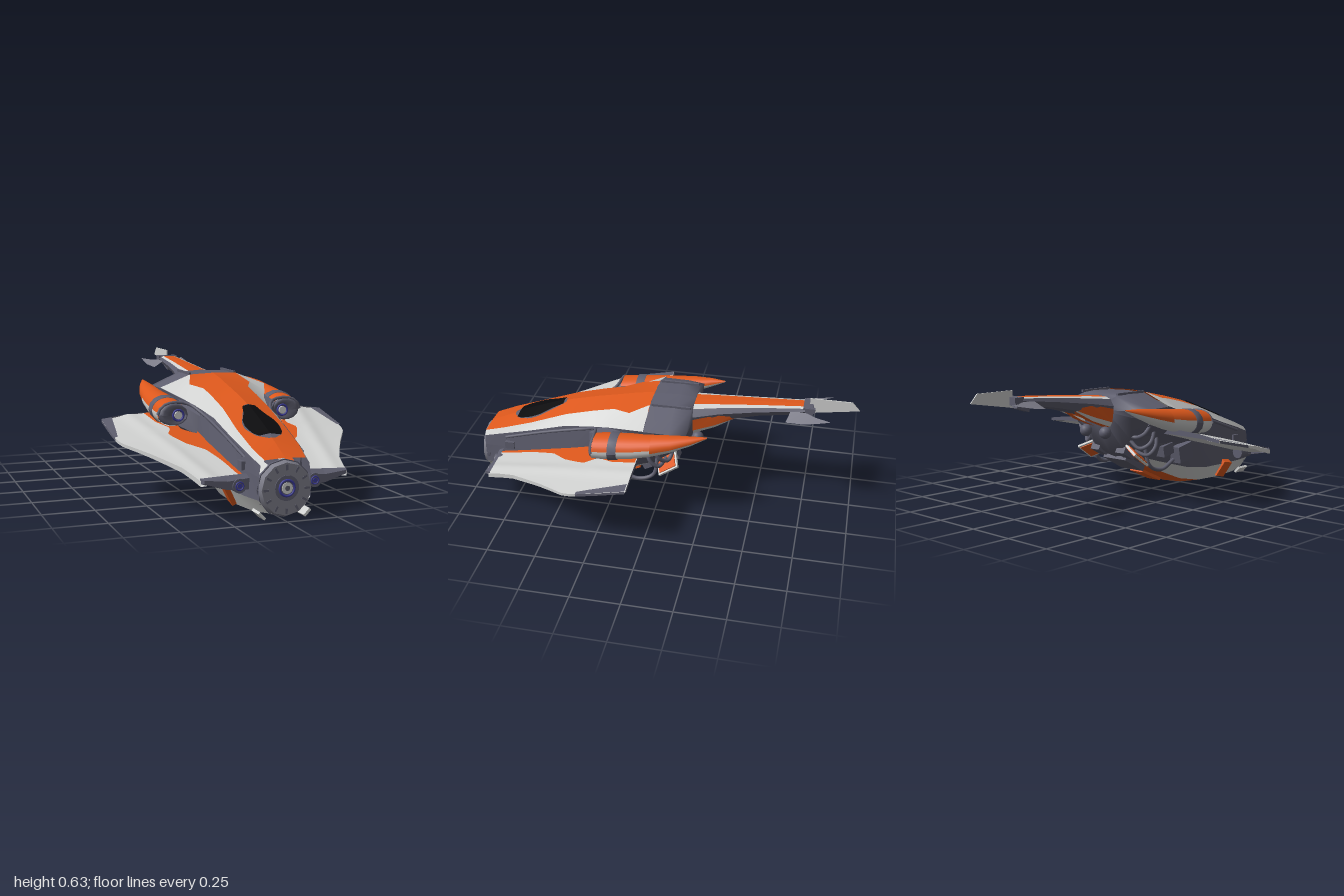
import * as THREE from 'three';

const mat = (name, color) => Object.assign(new THREE.MeshStandardMaterial({ color, side: THREE.DoubleSide }), { name });
const orange = mat('orange paint', 0xdd581c), white = mat('pale paint', 0xd0d1d0), grey = mat('slate hull', 0x5e5e6e);
const metal = mat('light metal', 0x7c7c88), black = mat('canopy black', 0x0b0b0d), blue = mat('engine blue', 0x3c3c9c);

export function createModel() {
  const model = new THREE.Group();
  model.name = 'spacecraft';

  function add(name, geo, m, x = 0, y = 0, z = 0, rx = 0, ry = 0, rz = 0) {
    const mesh = new THREE.Mesh(geo, m);
    mesh.name = name;
    mesh.position.set(x, y, z);
    mesh.rotation.set(rx, ry, rz);
    model.add(mesh);
    return mesh;
  }
  // Same part on both sides
  function pair(name, geo, m, x, y, z, rx = 0, ry = 0, rz = 0) {
    add(name + 'Left', geo, m, x, y, z, rx, ry, rz);
    add(name + 'Right', geo, m, -x, y, z, rx, -ry, -rz);
  }
  const box = (w, h, d) => new THREE.BoxGeometry(w, h, d);
  const disc = (r, d, n = 20, r2 = r) => new THREE.CylinderGeometry(r2, r, d, n).rotateX(Math.PI / 2);

  // Surface through rows of points, mirrored across x = 0
  function skin(name, m, rows) {
    const pos = [], idx = [], n = rows[0].length;
    for (const s of [1, -1]) {
      const base = pos.length / 3;
      rows.forEach(r => r.forEach(([x, y, z]) => pos.push(s * x, y, z)));
      for (let i = 0; i < rows.length - 1; i++) for (let j = 0; j < n - 1; j++) {
        const a = base + i * n + j, b = a + 1, c = a + n, d = c + 1;
        if (s > 0) idx.push(a, c, b, b, c, d); else idx.push(a, b, c, b, d, c);
      }
    }
    const g = new THREE.BufferGeometry();
    g.setAttribute('position', new THREE.Float32BufferAttribute(pos, 3));
    g.setIndex(idx);
    g.computeVertexNormals();
    return add(name, g, m);
  }
  // Half cross-sections [z, [x, y]...] from top to bottom, one colour per band
  function loft(name, sections, bands) {
    bands.forEach((m, j) => skin(name + j, m,
      sections.map(([z, ...p]) => [[...p[j], z], [...p[j + 1], z]])));
  }
  // Mirrored tubes through lists of points
  function tubes(name, r, lists) {
    for (const s of [1, -1]) for (const p of lists) {
      const path = new THREE.CatmullRomCurve3(p.map(([x, y, z]) => new THREE.Vector3(s * x, y, z)));
      add(name, new THREE.TubeGeometry(path, 24, r, 8), grey);
    }
  }
  const lerp = THREE.MathUtils.lerp;
  // Linear lookup in a table sorted by falling z
  function at(table, z) {
    let i = 0;
    while (i < table.length - 2 && z < table[i + 1][0]) i++;
    const [a, b] = [table[i], table[i + 1]], t = (z - a[0]) / (b[0] - a[0]);
    return a.map((v, k) => lerp(v, b[k], t));
  }

  // Main hull
  const hull = [
    [.97, [0, .29], [.10, .285], [.118, .262], [.125, .21], [.125, .105], [.08, .045], [0, .03]],
    [.86, [0, .34], [.117, .325], [.134, .298], [.14, .22], [.148, .105], [.10, .03], [0, .015]],
    [.70, [0, .405], [.122, .38], [.148, .345], [.16, .23], [.172, .11], [.128, .03], [0, .006]],
    [.50, [0, .48], [.117, .455], [.164, .41], [.182, .25], [.183, .115], [.132, .036], [0, .008]],
    [.35, [0, .517], [.118, .495], [.18, .435], [.19, .27], [.178, .135], [.12, .065], [0, .04]],
    [.24, [0, .54], [.12, .52], [.21, .46], [.195, .29], [.16, .165], [.10, .11], [0, .08]],
    [.15, [0, .56], [.165, .533], [.25, .485], [.2, .30], [.14, .19], [.09, .15], [0, .12]],
    [.05, [0, .577], [.128, .572], [.29, .51], [.2, .32], [.13, .22], [.09, .2], [0, .16]]];
  loft('hullPanel', hull, [orange, white, grey, grey, white]);
  const belly = s => s.map(([z, ...p]) => [[...p[5], z], [...p[6], z]]);
  skin('bellyFront', white, belly(hull.slice(0, 2)));
  skin('belly', orange, belly(hull.slice(1)));

  // Canopy lying on the hull roof
  const roof = hull.map(([z, a, b]) => [z, a[1], b[0], b[1]]);
  function canopy(name, m, outline, lift) {
    const rows = [];
    for (let i = 0; i <= 16; i++) {
      const z = lerp(outline[0][0], outline.at(-1)[0], i / 16), w = at(outline, z)[1];
      const [, yt, xo, yo] = at(roof, z);
      rows.push([0, .5, 1].map(t => [w * t, lerp(yt, yo, w * t / xo) + lift, z]));
    }
    skin(name, m, rows);
  }
  canopy('canopyFrame', grey, [[.825, .015], [.79, .062], [.72, .09], [.67, .086], [.60, .055], [.53, .02]], .004);
  canopy('canopyGlass', black, [[.80, .055], [.77, .074], [.71, .085], [.66, .079], [.60, .05], [.542, .033]], .009);

  // Nose cap with notches and sensor
  add('noseCap', disc(.129, .035, 12, .12), metal, 0, .152, .972);
  add('noseRim', disc(.132, .012, 12), grey, 0, .152, .955);
  for (let i = 0; i < 12; i++) {
    const a = i * Math.PI / 6;
    add('noseNotch', box(.01, .026, .008), grey, Math.sin(a) * .099, .152 + Math.cos(a) * .099, .988, 0, 0, -a);
  }
  add('noseHub', disc(.058, .012, 24), grey, 0, .158, .988);
  add('noseRing', new THREE.TorusGeometry(.036, .006, 8, 24), blue, 0, .158, .993);
  add('noseLens', disc(.026, .01, 16), white, 0, .158, .993);
  add('noseLensCore', disc(.012, .004, 12), grey, 0, .158, .998);
  pair('noseSkid', box(.042, .013, .08), white, .11, .035, .935, 0, 0, .8);
  pair('sideFlap', box(.034, .1, .07), orange, .157, .083, .69, .2, 0, -.5);

  // Wings: swept sheets rising toward the back
  const edge = [[.87, .36, .155], [.80, .375, .17], [.72, .398, .18], [.66, .43, .19], [.55, .49, .22], [.47, .54, .29],
    [.40, .585, .325], [.35, .60, .345], [.28, .605, .31], [.2, .607, .36], [.07, .607, .385]];
  const stations = Array.from({ length: 33 }, (_, i) => at(edge, lerp(.87, .07, i / 32)));
  function wingY(x, z) {
    const back = (.87 - z) / .8;
    const fold = .008 * Math.exp(-(((x - lerp(.3, .47, back)) / .04) ** 2));
    return lerp(.188, .388, back) + fold - .1 * Math.max(0, x - .35) * back;
  }
  const under = x => -lerp(.035, .014, (x - .12) / .48);
  const wingRows = (from, to, lift) => stations.map(e => Array.from({ length: 21 }, (_, i) => {
    const x = lerp(from(e), to(e), i / 20);
    return [x, wingY(x, e[0]) + lift(x), e[0]];
  }));
  const root = () => .12, seam = e => e[2], tip = e => e[1];
  skin('wingInnerTop', orange, wingRows(root, seam, () => 0));
  skin('wingOuterTop', white, wingRows(seam, tip, () => 0));
  skin('wingUnderside', white, wingRows(root, tip, under));
  const rim = list => list.map(([z, x]) => [[x, wingY(x, z), z], [x, wingY(x, z) + under(x), z]]);
  skin('wingSweptEdge', white, rim(stations.filter(e => e[0] > .3)));
  skin('wingTipEdge', grey, rim(stations.filter(e => e[0] < .33)));
  skin('wingTipCap', grey, [.32, .25, .16, .07].map((z, i) => [.59 - i * .012, .609].map(x => [x, wingY(x, z) + .004, z])));
  skin('wingTrailingEdge', grey, [.12, .22, .32, .42, .5, .607].map(x =>
    [[x, wingY(x, .07) + .003, .065], [x, wingY(x, .07) + under(x), .065]]));

  // Leading edge beam and small engines under the wing root
  loft('leadingBeam', [[.888, [.11, .195], [.24, .183], [.35, .195], [.35, .18], [.24, .145], [.11, .14]],
    [.86, [.11, .21], [.24, .205], [.36, .2], [.36, .175], [.24, .15], [.11, .14]]], Array(5).fill(grey));
  skin('leadingBeamFace', grey, [[[.11, .195, .888], [.11, .14, .888]], [[.24, .183, .888], [.24, .145, .888]], [[.35, .195, .888], [.35, .18, .888]]]);
  pair('rootEngine', disc(.033, .1, 16), grey, .185, .16, .845);
  pair('rootEngineRing', new THREE.TorusGeometry(.018, .004, 8, 20), blue, .185, .16, .894);
  pair('rootEngineCore', disc(.011, .006, 14), blue, .185, .16, .894);
  pair('rootBracket', box(.025, .04, .05), grey, .145, .24, .82);

  // Horn shaped nacelles: orange above, pale below
  const horn = [[.30, .305, .407, .078, .06], [.24, .305, .412, .08, .064], [.1, .308, .43, .075, .061], [0, .309, .447, .065, .053],
    [-.1, .309, .47, .05, .041], [-.2, .302, .495, .026, .023], [-.275, .29, .515, .004, .004]];
  const arc = (table, a0, a1) => table.map(([z, x, y, rx, ry]) => Array.from({ length: 15 }, (_, i) => {
    const a = lerp(a0, a1, i / 14);
    return [x + Math.cos(a) * rx, y + Math.sin(a) * ry, z];
  }));
  const nacelle = (name, part, a) => {
    skin(name + 'Top', orange, arc(part, a, 3.2));
    skin(name + 'Bottom', white, arc(part, 3.2, Math.PI * 2 + a));
  };
  nacelle('nacelleFront', horn.slice(0, 4), .15);
  nacelle('nacelleHorn', horn.slice(3), -.2);
  const cuff = (z0, z1) => [z0, z0, z1, z1].map((z, i) => {
    const r = at(horn, z), g = i % 3 ? 1.08 : .95;
    return [z, r[1], r[2], r[3] * g, r[4] * g];
  });
  skin('nacelleBand', grey, arc(cuff(.215, .17), 0, Math.PI * 2));
  skin('nacelleLip', grey, arc([[.295, .305, .407, .075, .057], [.31, .301, .405, .072, .055], [.318, .294, .403, .062, .049],
    [.31, .283, .40, .042, .038], [.305, .28, .40, .001, .001]], 0, Math.PI * 2));
  pair('nacelleRing', new THREE.TorusGeometry(.027, .005, 8, 20), blue, .28, .402, .314);
  pair('nacelleCore', disc(.019, .02, 16), white, .28, .402, .31);
  // Rim running along the hull side and over the nacelle mouth
  tubes('cowlRim', .008, [[[.145, .285, .84], [.163, .36, .6], [.184, .42, .38], [.225, .455, .315], [.3, .465, .302], [.36, .445, .302], [.382, .405, .3]]]);
  // Sloped pylons from hull wall to nacelle
  loft('pylon', [[.36, [.16, .42], [.185, .40], [.2, .31], [.17, .27]], [.295, [.17, .45], [.25, .445], [.28, .35], [.18, .26]],
    [.08, [.2, .48], [.3, .47], [.29, .39], [.18, .29]], [-.06, [.2, .49], [.29, .49], [.27, .43], [.15, .33]]], [grey, grey, grey]);

  // Rear collar closing to the tail root
  loft('collar', [
    [.05, [0, .572], [.125, .567], [.285, .505], [.27, .42], [.2, .31], [.13, .21], [0, .16]],
    [-.08, [0, .577], [.128, .572], [.285, .503], [.25, .45], [.15, .33], [.1, .27], [0, .25]],
    [-.165, [0, .572], [.12, .565], [.27, .50], [.23, .465], [.14, .42], [.08, .39], [0, .38]],
    [-.17, [0, .53], [.05, .52], [.09, .49], [.09, .48], [.06, .47], [.03, .46], [0, .46]]], Array(6).fill(grey));
  pair('collarRib', box(.012, .012, .2), grey, .125, .574, -.06);

  // Tail boom
  loft('tail', [
    [-.15, [0, .56], [.052, .558], [.088, .547], [.115, .51], [.09, .42], [0, .40]],
    [-.3, [0, .573], [.046, .571], [.07, .562], [.088, .535], [.07, .49], [0, .47]],
    [-.5, [0, .588], [.037, .586], [.056, .58], [.067, .56], [.05, .53], [0, .52]],
    [-.73, [0, .603], [.03, .602], [.046, .597], [.055, .585], [.045, .565], [0, .558]]], [orange, white, grey, grey, grey]);
  add('tailEnd', box(.1, .04, .05), grey, 0, .583, -.745);
  pair('tailEndProng', box(.02, .025, .05), grey, .045, .59, -.755);
  add('tailPod', box(.05, .03, .08), grey, 0, .55, -.70, .3);
  skin('sideFin', metal, [[[.05, .58, -.66], [.112, .545, -.64]], [[.06, .58, -.74], [.13, .555, -.73]],
    [[.09, .577, -.79], [.13, .568, -.80]], [[.122, .58, -.86], [.126, .58, -.86]]]);
  const fin = new THREE.Shape([[.75, .55], [.75, .634], [.96, .634], [1, .59]].map(p => new THREE.Vector2(...p)));
  add('centreFin', new THREE.ExtrudeGeometry(fin, { depth: .006, bevelEnabled: false }), white, -.003, 0, 0, 0, Math.PI / 2);

  // Painted keel below the tail root
  loft('tailKeel', [[-.17, [.112, .50], [.102, .43], [.085, .405], [.03, .40]], [-.28, [.088, .525], [.083, .465], [.068, .445], [.02, .445]],
    [-.38, [.07, .535], [.06, .505], [.05, .50], [.02, .50]]], [orange, white, orange]);

  // Rear machinery, pipes and panels below
  pair('sideUnit', box(.08, .09, .11), grey, .2, .235, .26, -.2);
  pair('sideUnitStep', box(.06, .06, .08), grey, .18, .26, .15, -.2);
  add('rearBlock', box(.16, .08, .16), grey, 0, .21, .04, .5);
  pair('rearBox', box(.06, .07, .09), grey, .09, .27, -.05, .5);
  pair('rearTank', new THREE.SphereGeometry(.032, 16, 10), grey, .07, .375, -.19);
  pair('rearPanelTrim', box(.11, .012, .12), white, .16, .252, -.05, .6, 0, -.5);
  pair('rearPanel', box(.09, .02, .1), orange, .16, .252, -.05, .6, 0, -.5);
  add('bellyTab', box(.09, .016, .16), orange, 0, .095, .2, .42);
  tubes('pipe', .01, [
    [[.2, .2, .2], [.2, .16, .1], [.19, .19, .02], [.17, .3, 0]], [[.2, .38, .06], [.22, .29, .03], [.2, .25, -.01], [.14, .27, -.04]],
    [[.23, .42, .02], [.23, .32, -.02], [.19, .29, -.06], [.12, .35, -.08]], [[.25, .43, -.03], [.23, .37, -.07], [.17, .35, -.08], [.12, .38, -.1]]]);
  return model;
}
